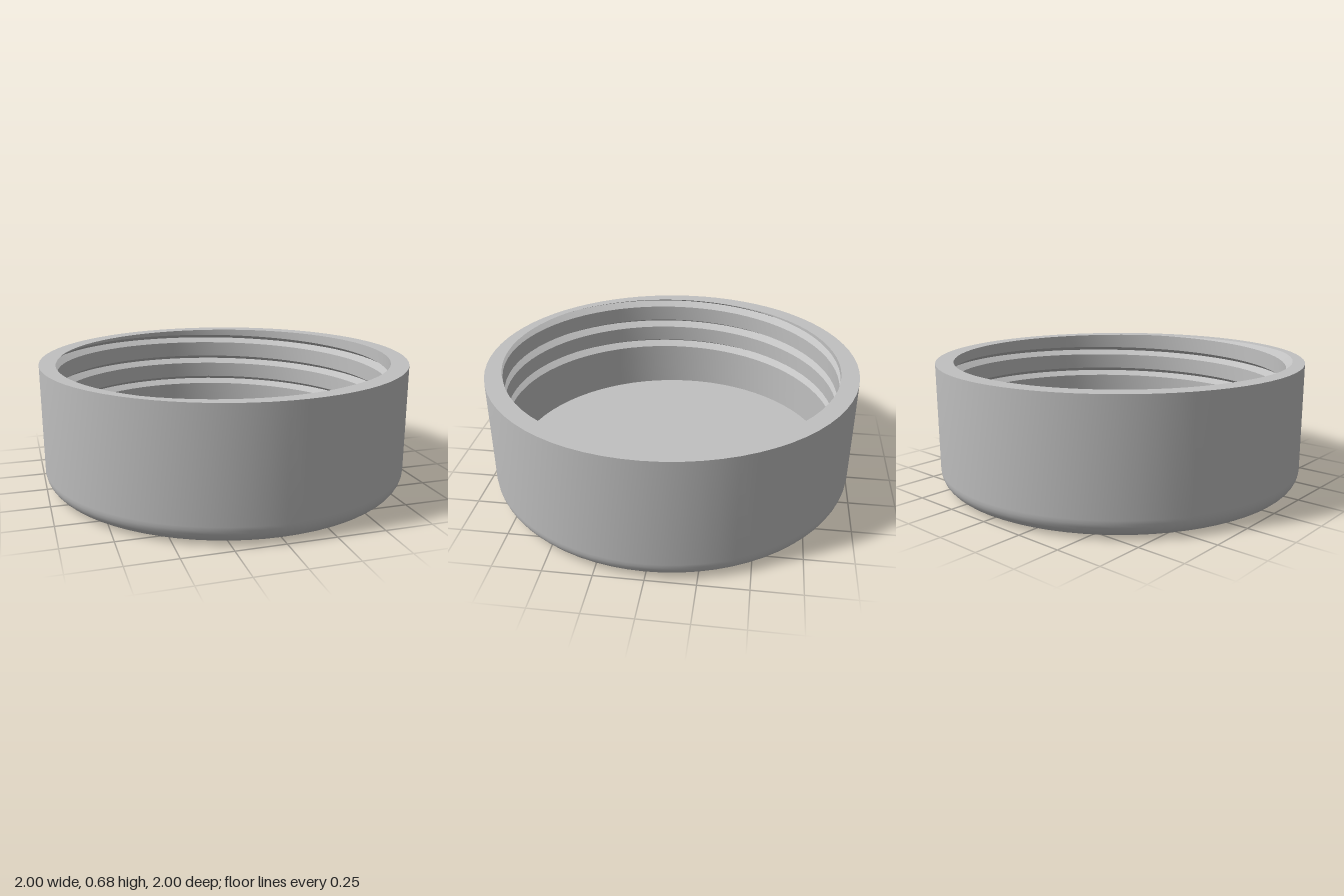
import * as THREE from 'three';
import { toCreasedNormals } from 'three/addons/utils/BufferGeometryUtils.js';

const HEIGHT = 0.675, FLOOR = 0.095, INNER = 0.905, FILLET = 0.1;
const PITCH = 0.141, DEPTH = 0.048, HALF = 0.025; // screw groove
const RUNOUT = 129, END = 1105;                   // degrees: groove meets the rim, groove stops
const SEGMENTS = 72;

// Inner profile at one angle: floor, grooved wall, rim
function innerColumn(deg, afterEnd) {
  const centres = [];
  for (let k = 3; k >= 0; k--) {
    const a = deg + 360 * k;
    const cut = a < END || (a === END && !afterEnd);
    centres.push({ y: HEIGHT - PITCH * (a - RUNOUT) / 360, depth: cut ? DEPTH : 0 });
  }
  const radiusAt = y => centres.reduce(
    (r, c) => r + c.depth * Math.max(0, 1 - Math.abs(y - c.y) / HALF), INNER);
  const column = [[0, FLOOR], [INNER, FLOOR]];
  for (const c of centres) {
    for (const d of [-HALF, 0, HALF]) {
      const y = Math.min(HEIGHT, c.y + d);
      column.push([radiusAt(y), y]);
    }
  }
  column.push([radiusAt(HEIGHT), HEIGHT], [1, HEIGHT]);
  return column.map(([r, y]) => {
    const t = THREE.MathUtils.degToRad(deg);
    return [r * Math.cos(t), y, r * Math.sin(t)];
  });
}

function threadedInterior() {
  const columns = [];
  for (let i = 0; i <= SEGMENTS; i++) {
    const deg = i * 360 / SEGMENTS;
    columns.push(innerColumn(deg, false));
    // a doubled column forms the end face of the groove
    if (deg === END % 360) columns.push(innerColumn(deg, true));
  }
  const rows = columns[0].length, index = [];
  for (let i = 0; i < columns.length - 1; i++) {
    for (let j = 0; j < rows - 1; j++) {
      const a = i * rows + j, b = a + rows;
      index.push(a, b, a + 1, b, b + 1, a + 1);
    }
  }
  const geometry = new THREE.BufferGeometry();
  geometry.setAttribute('position', new THREE.Float32BufferAttribute(columns.flat(2), 3));
  geometry.setIndex(index);
  return toCreasedNormals(geometry, 0.4);
}

// Outside: flat base, rounded edge, straight wall
function outerShell() {
  const points = [new THREE.Vector2(0, 0)];
  for (let i = 0; i <= 8; i++) {
    const t = i / 8 * Math.PI / 2;
    points.push(new THREE.Vector2(1 - FILLET + FILLET * Math.sin(t), FILLET - FILLET * Math.cos(t)));
  }
  points.push(new THREE.Vector2(1, HEIGHT));
  return toCreasedNormals(new THREE.LatheGeometry(points, SEGMENTS), 0.6);
}

export function createModel() {
  const group = new THREE.Group();
  group.name = 'screwLid';
  const grey = new THREE.MeshStandardMaterial({ color: 0xc0c0c0 });
  grey.name = 'light grey';
  const add = (name, geometry) => {
    const mesh = new THREE.Mesh(geometry, grey);
    mesh.name = name;
    group.add(mesh);
  };
  add('outerShell', outerShell());
  add('threadedInterior', threadedInterior());
  return group;
}
